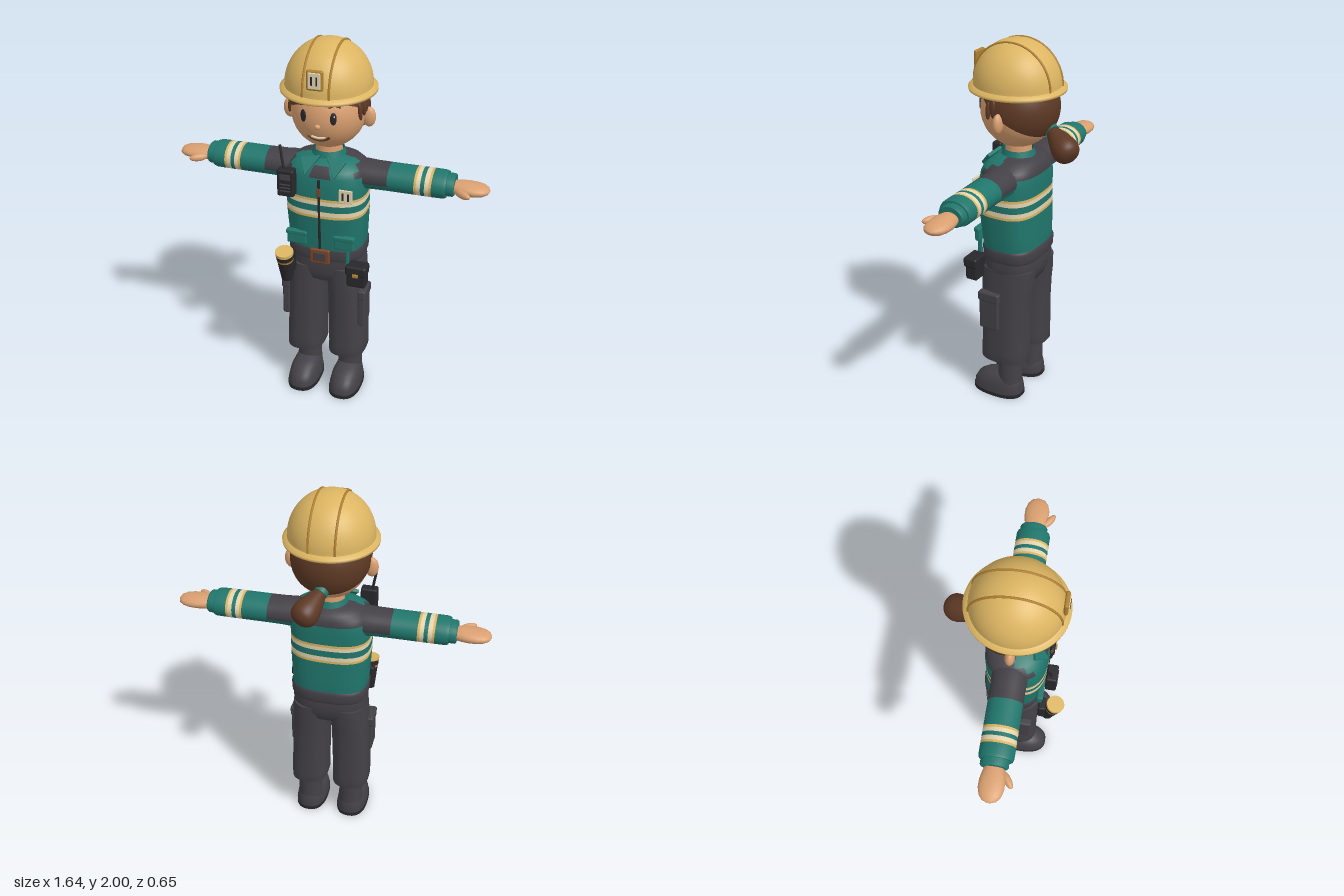
import * as THREE from 'three';
import { RoundedBoxGeometry } from 'three/addons/geometries/RoundedBoxGeometry.js';
import { ParametricGeometry } from 'three/addons/geometries/ParametricGeometry.js';

const mat = (name, color, side = THREE.FrontSide) => {
  const m = new THREE.MeshStandardMaterial({ color, side });
  m.name = name;
  return m;
};

// Skin of superellipse rings [y, cx, cz, rx, rz, power]; pick(x, y, z) gives a material index
function loft(rings, pick = () => 0, count = 1, seg = 56) {
  const pos = [], faces = Array.from({ length: count }, () => []);
  const addRing = ([y, cx, cz, rx, rz, n = 2]) => {
    const start = pos.length / 3;
    for (let j = 0; j < seg; j++) {
      const t = (j / seg) * Math.PI * 2, c = Math.cos(t), s = Math.sin(t);
      pos.push(cx + rx * Math.sign(c) * Math.abs(c) ** (2 / n), y, cz + rz * Math.sign(s) * Math.abs(s) ** (2 / n));
    }
    return start;
  };
  const starts = rings.map(addRing);
  for (let i = 0; i < rings.length - 1; i++) for (let j = 0; j < seg; j++) {
    const k = (j + 1) % seg, a = starts[i] + j, b = starts[i] + k, c = starts[i + 1] + j, d = starts[i + 1] + k;
    const mid = [0, 1, 2].map(o => (pos[a * 3 + o] + pos[b * 3 + o] + pos[c * 3 + o] + pos[d * 3 + o]) / 4);
    faces[pick(...mid)].push(a, c, b, b, c, d);
  }
  [rings[0], rings[rings.length - 1]].forEach((r, top) => {
    const s = addRing(r), centre = pos.length / 3;
    pos.push(r[1], r[0], r[2]);
    for (let j = 0; j < seg; j++) {
      const k = (j + 1) % seg;
      faces[0].push(centre, s + (top ? k : j), s + (top ? j : k));
    }
  });
  const g = new THREE.BufferGeometry();
  g.setAttribute('position', new THREE.Float32BufferAttribute(pos, 3));
  g.setIndex(faces.flat());
  let at = 0;
  if (count > 1) faces.forEach((f, i) => { g.addGroup(at, f.length, i); at += f.length; });
  g.computeVertexNormals();
  return g;
}

export function createModel() {
  const root = new THREE.Group();
  root.name = 'rescueWorker';
  const yellow = mat('yellow', 0xdcb562), gold = mat('gold', 0xb08032), skin = mat('skin', 0xd99f70);
  const hair = mat('hair brown', 0x5c3824, THREE.DoubleSide), teal = mat('teal', 0x20766c);
  const grey = mat('dark grey', 0x434147), black = mat('black', 0x28272b);
  const cream = mat('cream', 0xe4d5b0), leather = mat('leather', 0x7c4526);

  const add = (name, geo, m, p = [0, 0, 0], r = [0, 0, 0], s = [1, 1, 1]) => {
    const mesh = new THREE.Mesh(geo, m);
    mesh.name = name;
    mesh.position.set(...p); mesh.rotation.set(...r); mesh.scale.set(...s);
    root.add(mesh);
    return mesh;
  };
  const ball = (name, m, p, s, r) => add(name, new THREE.SphereGeometry(1, 32, 20), m, p, r, s);
  const box = (name, m, p, w, h, d, rad = 0.01, r) => add(name, new RoundedBoxGeometry(w, h, d, 3, rad), m, p, r);
  const tube = (name, m, pts, rad) =>
    add(name, new THREE.TubeGeometry(new THREE.CatmullRomCurve3(pts.map(p => new THREE.Vector3(...p))), 40, rad, 8), m);

  // Head and face
  const C = [0, 1.645, 0.045], R = [0.188, 0.195, 0.193];
  const faceZ = (x, y) => C[2] + R[2] * Math.sqrt(Math.max(0, 1 - (x / R[0]) ** 2 - ((y - C[1]) / R[1]) ** 2));
  const onFace = pts => pts.map(([x, y]) => [x, y, faceZ(x, y)]);
  ball('head', skin, C, R);
  add('neck', new THREE.CylinderGeometry(0.065, 0.07, 0.12, 32), skin, [0, 1.43, 0.045]);
  ball('nose', skin, [0, 1.62, 0.238], [0.015, 0.013, 0.012]);
  for (const s of [-1, 1]) {
    ball('ear', skin, [s * 0.203, 1.622, 0.045], [0.034, 0.052, 0.024]);
    ball('eye', black, [s * 0.075, 1.664, faceZ(0.075, 1.664)], [0.016, 0.032, 0.006], [0, s * 0.4, 0]);
    ball('eyeGlint', cream, [s * 0.075 + 0.005, 1.676, faceZ(0.075, 1.676) + 0.005], [0.004, 0.006, 0.002]);
    tube('eyebrow', hair, onFace([[s * 0.05, 1.716], [s * 0.075, 1.724], [s * 0.103, 1.714]]), 0.005);
  }
  tube('mouth', hair, onFace([[-0.055, 1.562], [-0.03, 1.546], [0, 1.541], [0.03, 1.546], [0.055, 1.562]]), 0.007);
  tube('teeth', cream, onFace([[-0.036, 1.56], [0, 1.554], [0.036, 1.56]]), 0.007);

  // Hair: tilted cap, swept fringe, side locks and ponytail
  add('hairCap', new THREE.SphereGeometry(0.2, 48, 24, 0, Math.PI * 2, 0, Math.PI / 2 + 0.1), hair, [0, 1.66, 0.032], [-0.57, 0, 0]);
  add('fringe', new ParametricGeometry((u, v, out) => {
    const phi = (u - 0.5) * 3.3;
    const low = 1.757 - 0.055 * Math.abs(phi - 0.25) - 0.006 * Math.abs(Math.sin(phi * 5));
    const y = low + (1.79 - low) * v;
    const k = 1.035 * Math.sqrt(1 - ((y - C[1]) / 0.205) ** 2);
    out.set(R[0] * k * Math.sin(phi), y, C[2] + R[2] * k * Math.cos(phi));
  }, 60, 4), hair);
  for (const s of [-1, 1]) {
    ball('sideLock', hair, [s * 0.177, 1.672, 0.115], [0.011, 0.045, 0.014], [0, 0, s * 0.1]);
    ball('sideLock', hair, [s * 0.187, 1.685, 0.08], [0.012, 0.045, 0.018]);
  }
  const start = new THREE.Vector3(0, 1.57, -0.135);
  const dir = new THREE.Vector3(0.085, -0.105, -0.165).normalize();
  const tailProfile = new THREE.SplineCurve([[0.022, 0], [0.037, 0.035], [0.056, 0.09], [0.068, 0.14], [0.062, 0.18], [0.035, 0.205], [0, 0.21]]
    .map(p => new THREE.Vector2(...p))).getPoints(30);
  tailProfile[30].x = 0;
  const turn = new THREE.Quaternion().setFromUnitVectors(new THREE.Vector3(0, 1, 0), dir);
  add('ponytail', new THREE.LatheGeometry(tailProfile, 36), hair, start.toArray()).quaternion.copy(turn);
  add('hairBand', new THREE.CylinderGeometry(0.037, 0.035, 0.024, 24), teal, start.clone().addScaledVector(dir, 0.012).toArray()).quaternion.copy(turn);

  // Hard hat with ridges and front plate
  const dome = [[0, 1.755], [0.236, 1.745], [0.248, 1.75], [0.249, 1.763], [0.226, 1.775]].map(p => new THREE.Vector2(...p));
  for (let i = 0; i <= 24; i++) {
    const a = (i / 24) * Math.PI / 2;
    dome.push(new THREE.Vector2(i === 24 ? 0 : 0.225 * Math.cos(a), 1.775 + 0.225 * Math.sin(a)));
  }
  add('helmet', new THREE.LatheGeometry(dome, 64), yellow, [0, 0, 0.048], [0, 0, 0], [0.96, 1, 1]);
  for (const s of [-1, 1]) {
    const pts = [];
    for (let i = 0; i <= 24; i++) {
      const a = (i / 24) * Math.PI;
      pts.push([s * 0.065, 1.775 + 0.2155 * Math.sin(a), 0.048 + 0.2155 * Math.cos(a)]);
    }
    tube('helmetRidge', gold, pts, 0.006);
  }
  const badge = (name, x, y, z, w, h, tilt) => {
    box(name + 'Plate', cream, [x, y, z], w, h, 0.009, 0.004, [tilt, 0, 0]);
    for (const s of [-1, 1]) box(name + 'Mark', black, [x + s * w * 0.2, y, z + 0.005], w * 0.12, h * 0.55, 0.004, 0.001, [tilt, 0, 0]);
  };
  box('helmetPlateFrame', gold, [0, 1.867, 0.268], 0.082, 0.1, 0.022, 0.01);
  badge('helmet', 0, 1.867, 0.279, 0.062, 0.08, 0);

  // Jacket with yoke and reflective bands
  const jacketMats = [teal, grey, cream, yellow];
  const band = (v, a, b, c, d, e, f) => (v > a && v < b) || (v > e && v < f) ? 3 : (v > b && v < c) || (v > d && v < e) ? 2 : 0;
  add('jacket', loft([
    [0.9, 0, 0.05, 0.192, 0.148, 2.8], [0.92, 0, 0.05, 0.2, 0.152, 2.8], [1.0, 0, 0.053, 0.204, 0.156, 2.8],
    ...[1.112, 1.126, 1.15, 1.186, 1.208, 1.222].map(y => [y, 0, 0.06, 0.21, 0.16, 2.8]),
    [1.28, 0, 0.058, 0.21, 0.16, 2.8], [1.33, 0, 0.055, 0.206, 0.155, 2.7], [1.36, 0, 0.052, 0.195, 0.148, 2.5],
    [1.385, 0, 0.048, 0.168, 0.128, 2.3], [1.4, 0, 0.045, 0.13, 0.1, 2.1], [1.41, 0, 0.045, 0.08, 0.075, 2],
  ], (x, y, z) => {
    if (y > 1.33) return z < 0.06 || Math.abs(x) > 0.165 || (Math.abs(x) < 0.05 && y < 1.39) ? 1 : 0;
    return band(y, 1.112, 1.126, 1.15, 1.186, 1.208, 1.222);
  }, 4, 72), jacketMats);
  add('collar', new THREE.CylinderGeometry(0.077, 0.098, 0.06, 40, 1, true), mat('teal', 0x20766c, THREE.DoubleSide), [0, 1.407, 0.045]).material.name = 'teal cloth';
  for (const s of [-1, 1]) {
    const wing = new THREE.Shape([[0.018, 0.055], [0.115, 0.035], [0.075, -0.05]].map(([x, y]) => new THREE.Vector2(s * x, y)));
    add('collarWing', new THREE.ExtrudeGeometry(wing, { depth: 0.01, bevelSize: 0.004, bevelThickness: 0.004, bevelSegments: 2 }), teal, [0, 1.378, 0.175], [-0.75, 0, 0]);
    box('jacketPocket', teal, [s * 0.126, 0.975, 0.196], 0.105, 0.075, 0.03, 0.008);
    box('pocketFlap', teal, [s * 0.126, 1.003, 0.2], 0.112, 0.025, 0.032, 0.007);
  }
  box('zipper', black, [0, 1.13, 0.218], 0.012, 0.4, 0.012, 0.003, [0.03, 0, 0]);
  box('zipperPull', leather, [0, 1.26, 0.227], 0.018, 0.045, 0.012, 0.004);
  badge('chest', 0.137, 1.253, 0.216, 0.07, 0.074, 0);

  // Sleeves, cuffs and hands
  for (const s of [-1, 1]) {
    const sleeve = loft([
      [0.1, 0, 0, 0.07, 0.088], [0.19, 0, 0, 0.075, 0.09], [0.24, 0, 0, 0.071, 0.088],
      ...[0.32, 0.455, 0.467, 0.488, 0.508, 0.53, 0.542].map(y => [y, 0, 0, 0.07, 0.087]),
      [0.595, 0, 0, 0.069, 0.087], [0.61, 0, 0, 0.064, 0.082],
    ], (x, y) => (y < 0.32 ? (-s * x > -0.015 ? 1 : 0) : band(y, 0.455, 0.467, 0.488, 0.508, 0.53, 0.542)), 4, 48);
    const turnZ = [0, 0, -s * Math.PI / 2];
    add('sleeve', sleeve, jacketMats, [0, 1.312, 0.043], turnZ);
    add('cuff', loft([[0.6, 0, 0, 0.056, 0.07], [0.64, 0, 0, 0.056, 0.07], [0.648, 0, 0, 0.05, 0.064]]), teal, [0, 1.312, 0.04], turnZ);
    add('hand', loft([
      [0.63, 0, 0, 0.032, 0.042], [0.67, 0, 0, 0.034, 0.055], [0.71, 0, 0, 0.034, 0.063], [0.75, 0, 0, 0.031, 0.063],
      [0.785, 0, 0, 0.026, 0.053], [0.808, 0, 0, 0.017, 0.035], [0.818, 0, 0, 0.004, 0.008],
    ]), skin, [0, 1.305, 0.042], turnZ);
    ball('thumb', skin, [s * 0.695, 1.302, 0.112], [0.048, 0.02, 0.019], [0, s * -0.6, 0]);
  }

  // Trousers, belt and boots
  add('hips', loft([
    [0.685, 0, 0.055, 0.06, 0.08, 2], [0.72, 0, 0.052, 0.17, 0.13, 2.5], [0.77, 0, 0.048, 0.198, 0.146, 2.6],
    [0.82, 0, 0.046, 0.2, 0.15, 2.6], [0.86, 0, 0.048, 0.197, 0.148, 2.7],
  ]), grey);
  add('belt', loft([
    [0.85, 0, 0.048, 0.197, 0.148, 2.8], [0.868, 0, 0.047, 0.205, 0.156, 2.8], [0.912, 0, 0.047, 0.207, 0.158, 2.8], [0.925, 0, 0.047, 0.198, 0.15, 2.8],
  ]), grey);
  box('buckle', leather, [0, 0.883, 0.21], 0.105, 0.084, 0.02, 0.008);
  box('buckleCentre', grey, [0, 0.883, 0.219], 0.066, 0.048, 0.01, 0.003);
  for (const s of [-1, 1]) {
    add('trouserLeg', loft([
      [0.235, s * 0.118, 0.06, 0.09, 0.118, 2.8], [0.243, s * 0.118, 0.06, 0.101, 0.13, 2.8], [0.3, s * 0.118, 0.06, 0.101, 0.13, 2.7],
      [0.5, s * 0.113, 0.058, 0.101, 0.132, 2.5], [0.64, s * 0.109, 0.055, 0.1, 0.138, 2.5],
      [0.72, s * 0.103, 0.05, 0.102, 0.144, 2.4], [0.8, s * 0.098, 0.048, 0.1, 0.146, 2.4],
    ]), grey);
    box('cargoPocket', grey, [s * 0.21, 0.555, 0.105], 0.04, 0.21, 0.115, 0.01);
    box('cargoFlap', grey, [s * 0.212, 0.645, 0.105], 0.044, 0.055, 0.125, 0.01);
    add('bootShaft', loft([[0.05, s * 0.119, 0.035, 0.07, 0.068], [0.16, s * 0.119, 0.035, 0.066, 0.066], [0.26, s * 0.119, 0.035, 0.067, 0.066]]), grey);
    add('bootFoot', loft([
      [0.015, s * 0.12, 0.107, 0.085, 0.145, 2.5], [0.05, s * 0.12, 0.105, 0.083, 0.144, 2.5], [0.085, s * 0.12, 0.098, 0.077, 0.132, 2.4],
      [0.11, s * 0.12, 0.085, 0.066, 0.11, 2.2], [0.125, s * 0.12, 0.07, 0.05, 0.08, 2], [0.135, s * 0.12, 0.05, 0.03, 0.045, 2],
    ]), grey);
    add('bootSole', loft([[0, s * 0.12, 0.107, 0.088, 0.149, 2.5], [0.02, s * 0.12, 0.107, 0.088, 0.149, 2.5]]), black);
  }

  // Chest radio
  box('radioBody', black, [-0.158, 1.31, 0.247], 0.088, 0.145, 0.055, 0.01);
  box('radioScreen', grey, [-0.158, 1.345, 0.275], 0.055, 0.03, 0.006, 0.002);
  for (let i = 0; i < 3; i++) box('radioGrille', grey, [-0.158, 1.305 - i * 0.018, 0.275], 0.055, 0.007, 0.006, 0.002);
  tube('radioAntenna', black, [[-0.172, 1.37, 0.245], [-0.185, 1.44, 0.237], [-0.196, 1.5, 0.228]], 0.007);

  // Torch in its holster
  const torch = (name, m, top, bottom, h, along) => add(name, new THREE.CylinderGeometry(top, bottom, h, 32), m,
    [-0.168, 0.745 + along * 0.976, 0.246 + along * 0.216], [0.218, 0, 0]);
  torch('torchHolster', black, 0.042, 0.032, 0.13, 0.065);
  torch('torchRing', gold, 0.044, 0.043, 0.016, 0.135);
  torch('torchNeck', black, 0.046, 0.044, 0.03, 0.155);
  torch('torchHead', yellow, 0.047, 0.047, 0.018, 0.177);
  box('holsterLoop', black, [-0.168, 0.84, 0.215], 0.07, 0.13, 0.04, 0.01);

  // Belt pouch
  box('beltPouch', black, [0.198, 0.795, 0.196], 0.1, 0.115, 0.07, 0.012);
  box('pouchFlap', black, [0.198, 0.837, 0.2], 0.112, 0.055, 0.08, 0.012);
  box('pouchClasp', gold, [0.198, 0.817, 0.243], 0.03, 0.018, 0.012, 0.003);
  box('pouchStrap', teal, [0.145, 0.9, 0.198], 0.016, 0.09, 0.024, 0.005);
  return root;
}
